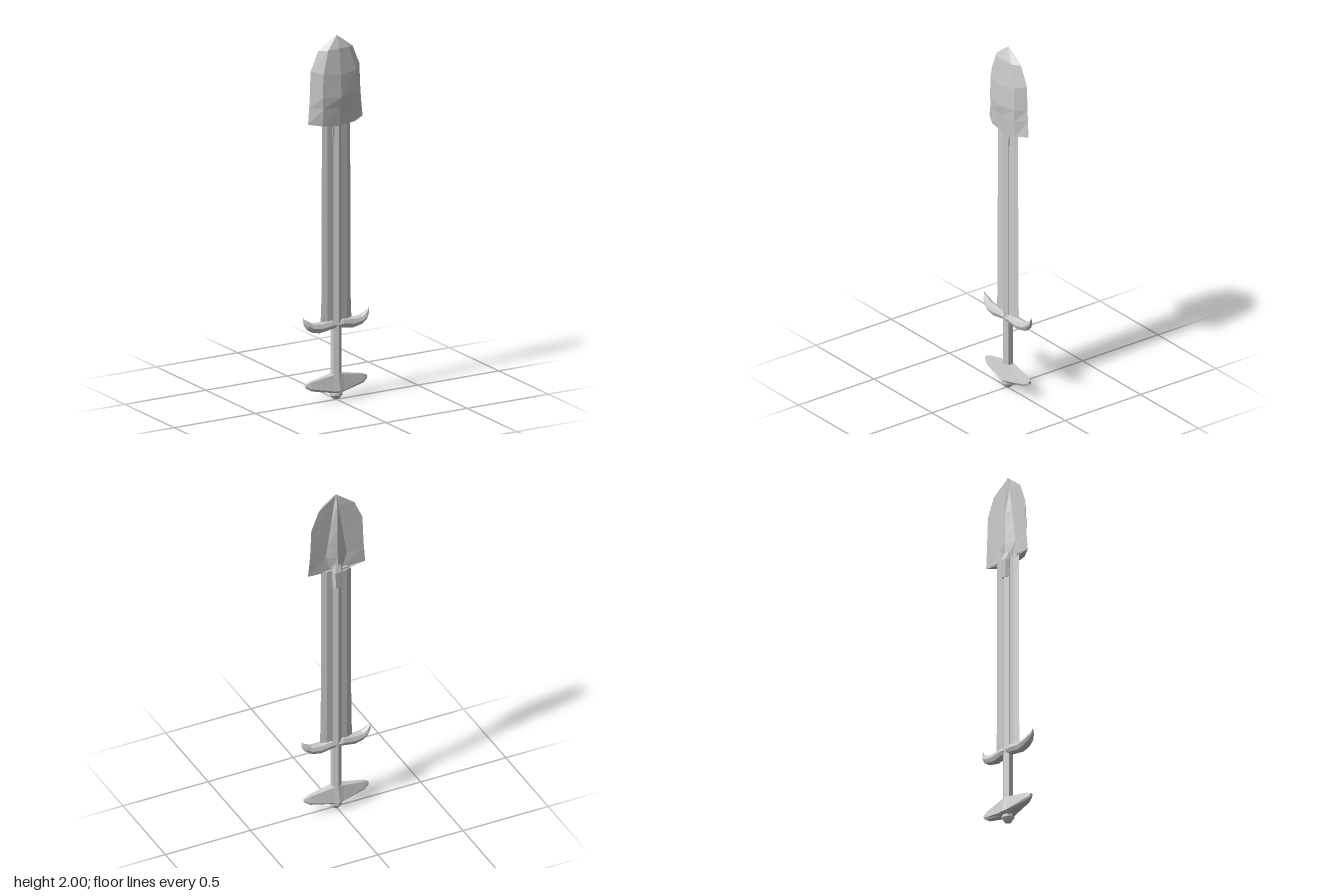
import * as THREE from 'three';

const Z = -0.005; // depth of the weapon's centre line
const material = new THREE.MeshStandardMaterial({ color: 0xcccccc, flatShading: true });

// Skin a list of closed rings; rings turn counter-clockwise about the loft direction.
function loft(rings) {
  const n = rings[0].length;
  const index = [];
  for (let i = 0; i < rings.length - 1; i++) {
    for (let j = 0; j < n; j++) {
      const a = i * n + j, b = i * n + (j + 1) % n;
      index.push(a, b, b + n, a, b + n, a + n);
    }
  }
  const last = (rings.length - 1) * n;
  for (let j = 1; j < n - 1; j++) {
    index.push(0, j + 1, j, last, last + j, last + j + 1);
  }
  const geometry = new THREE.BufferGeometry();
  geometry.setAttribute('position', new THREE.Float32BufferAttribute(rings.flat(2), 3));
  geometry.setIndex(index);
  const flat = geometry.toNonIndexed();
  flat.computeVertexNormals();
  return flat;
}

// Repeat half-span sections on the -x side so the loft runs from left to right.
function mirrorSections(half) {
  const negative = half.slice(1).reverse().map(([x, ...rest]) => [-x, ...rest]);
  return [...negative, ...half];
}

export function createModel() {
  const model = new THREE.Group();
  const add = (name, geometry, x = 0, y = 0, z = 0) => {
    const mesh = new THREE.Mesh(geometry, material);
    mesh.name = name;
    mesh.position.set(x, y, z);
    model.add(mesh);
    return mesh;
  };

  // Spade head: [y, half width, shoulder x, centre z, shoulder z, edge z, ridge half width, spine z, centre drop]
  const head = [
    [1.53, 0.168, 0.10, 0.030, 0.024, -0.012, 0.035, -0.026, 0.022],
    [1.62, 0.160, 0.10, 0.040, 0.031, -0.014, 0.062, -0.026, 0.012],
    [1.68, 0.156, 0.105, 0.050, 0.034, -0.015, 0.052, -0.025, 0.01],
    [1.82, 0.150, 0.10, 0.046, 0.033, -0.015, 0.032, -0.024, 0.03],
    [1.925, 0.105, 0.065, 0.030, 0.023, -0.012, 0.014, -0.020, -0.01],
    [2.0, 0.002, 0.001, 0.002, 0.001, -0.002, 0.001, -0.003, 0],
  ];
  add('spadeHead', loft(head.map(([y, w, m, zc, zm, ze, r, zs, drop]) => [
    [-w, y, ze], [-m, y - drop / 2, zm], [0, y - drop, zc], [m, y - drop / 2, zm],
    [w, y, ze], [r, y - drop / 2, -0.006], [0, y - drop, zs], [-r, y - drop / 2, -0.006],
  ])));

  // Flat blade with bevelled edges, flaring slightly at its base
  add('blade', loft([[0.41, 0.096], [0.56, 0.09], [1.53, 0.087]].map(([y, w]) => [
    [-w, y, Z], [-0.06, y, Z + 0.012], [0.06, y, Z + 0.012],
    [w, y, Z], [0.06, y, Z - 0.012], [-0.06, y, Z - 0.012],
  ])));

  // Hexagonal shaft running from the grip up into the spade head
  add('shaft', new THREE.CylinderGeometry(0.028, 0.028, 1.42, 6), 0, 0.83, Z);

  // Socket behind the head, sloping into the spine
  add('socket', loft([[1.42, 0.026, -0.034], [1.52, 0.03, -0.038], [1.56, 0.022, -0.024]].map(([y, w, z]) => [
    [-w, y, 0.012], [w, y, 0.012], [w, y, -0.02], [w * 0.6, y, z], [-w * 0.6, y, z], [-w, y, -0.02],
  ])));

  // Curved guard: [x, centre y, half height, half depth]
  const guard = mirrorSections([
    [0, 0.413, 0.018, 0.027], [0.035, 0.416, 0.029, 0.029], [0.1, 0.407, 0.031, 0.029],
    [0.15, 0.414, 0.026, 0.027], [0.18, 0.432, 0.025, 0.022],
    [0.198, 0.452, 0.017, 0.009], [0.2, 0.477, 0.002, 0.002],
  ]);
  add('guard', loft(guard.map(([x, y, h, d]) => Array.from({ length: 8 }, (_, k) => {
    const a = k * Math.PI / 4;
    return [x, y + h * Math.cos(a), Z + d * Math.sin(a)];
  }))));

  // Winged pommel: [x, top y, bottom y, top half depth, bottom half depth]
  const pommel = mirrorSections([
    [0, 0.145, 0.042, 0.025, 0.046], [0.03, 0.14, 0.044, 0.02, 0.039],
    [0.16, 0.117, 0.07, 0.01, 0.02], [0.188, 0.107, 0.087, 0.005, 0.008],
  ]);
  add('pommel', loft(pommel.map(([x, top, bottom, t, b]) => [
    [x, top, Z - t], [x, top, Z + t],
    [x, bottom + 0.012, Z + b], [x, bottom, Z + b * 0.7],
    [x, bottom, Z - b * 0.7], [x, bottom + 0.012, Z - b],
  ])));

  // Faceted button under the pommel
  const button = [[0, 0], [0.018, 0.004], [0.034, 0.026], [0.034, 0.04], [0.02, 0.05]]
    .map(([r, y]) => new THREE.Vector2(r, y));
  add('pommelButton', new THREE.LatheGeometry(button, 8), 0, 0, Z);

  return model;
}
